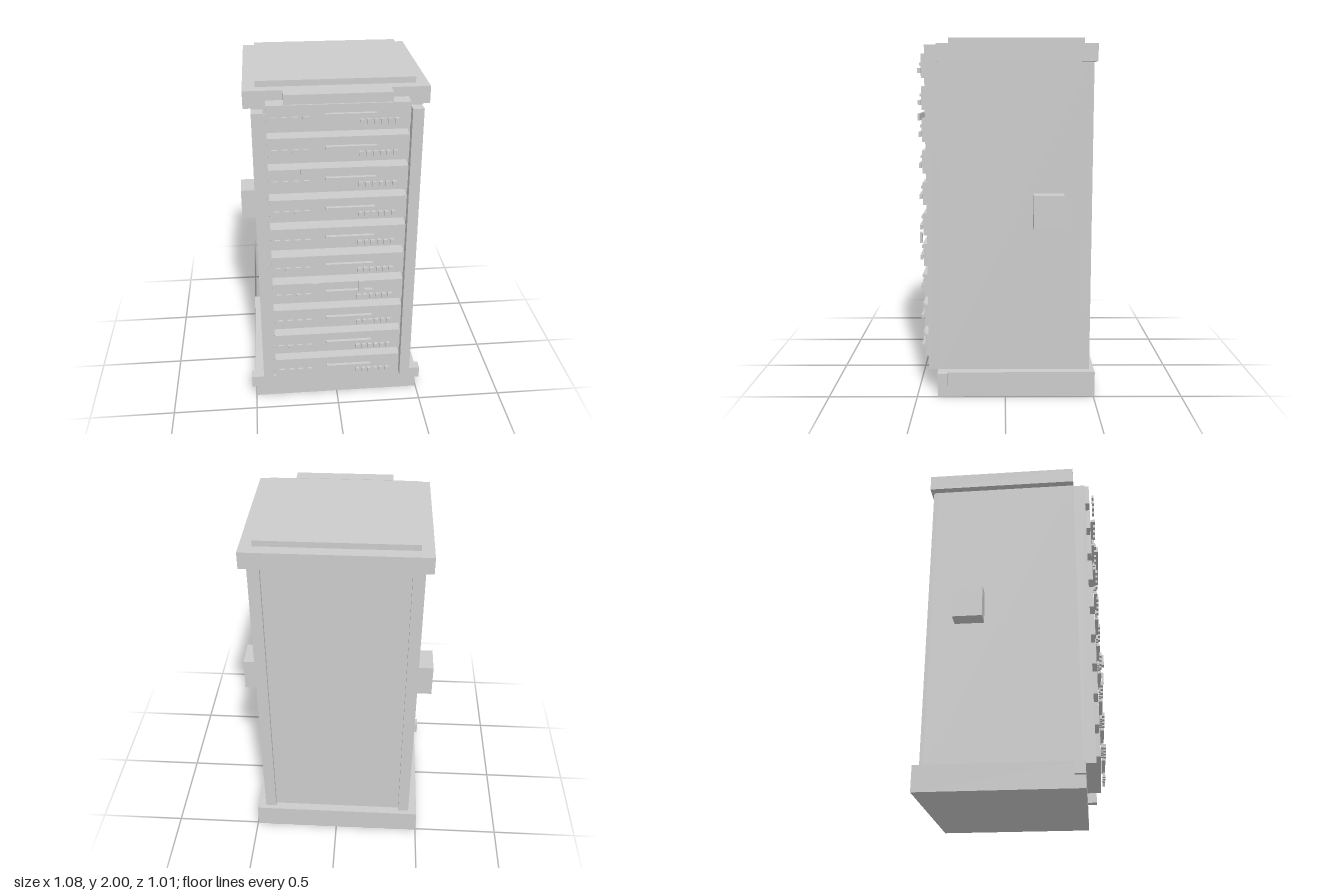
import * as THREE from 'three';

const material = new THREE.MeshStandardMaterial({ color: 0xcccccc, flatShading: true });

// Box given by its limits on each axis
function box(parent, name, [x0, x1], [y0, y1], [z0, z1]) {
  const mesh = new THREE.Mesh(new THREE.BoxGeometry(x1 - x0, y1 - y0, z1 - z0), material);
  mesh.position.set((x0 + x1) / 2, (y0 + y1) / 2, (z0 + z1) / 2);
  mesh.name = name;
  parent.add(mesh);
  return mesh;
}

// The same box on both sides of the cabinet
function pair(parent, name, [x0, x1], y, z) {
  box(parent, name + 'Left', [x0, x1], y, z);
  box(parent, name + 'Right', [-x1, -x0], y, z);
}

// Server unit with lights, a drive slot and a row of buttons, centred on y = 0
function createServer() {
  const server = new THREE.Group();
  box(server, 'serverCase', [-0.371, 0.371], [-0.064, 0.064], [0.378, 0.463]);
  box(server, 'driveSlot', [-0.07, 0.195], [0.005, 0.021], [0.47, 0.49]);
  for (let i = 0; i < 4; i++) {
    const x = -0.35 + i * 0.055;
    box(server, 'statusLight', [x, x + 0.03], [-0.01, 0.01], [0.479, 0.491]);
  }
  for (let i = 0; i < 6; i++) {
    const x = 0.106 + i * 0.036;
    box(server, 'button', [x, x + 0.022], [-0.04, -0.013], [0.473, 0.489]);
  }
  return server;
}

export function createModel() {
  const model = new THREE.Group();
  model.name = 'serverRack';
  const rack = new THREE.Group();
  rack.name = 'rack';
  rack.position.x = -0.003;
  model.add(rack);

  // Plinth with front corner blocks
  box(rack, 'base', [-0.497, 0.497], [0, 0.143], [-0.507, 0.383]);
  pair(rack, 'baseCornerBlock', [0.497, 0.521], [0.07, 0.143], [0.325, 0.383]);

  // Cabinet: recessed core, side panels and corner posts
  const height = [0.143, 1.875];
  box(rack, 'core', [-0.43, 0.43], height, [-0.457, 0.37]);
  box(rack, 'innerFrontPanel', [-0.386, 0.386], [0.17, 1.84], [0.37, 0.378]);
  pair(rack, 'sidePanel', [0.43, 0.447], height, [-0.46, 0.37]);
  pair(rack, 'rearPost', [0.383, 0.447], height, [-0.48, -0.457]);
  pair(rack, 'frontPost', [0.386, 0.446], [0.143, 1.87], [0.37, 0.437]);

  // Cap, raised roof plate and front light bar
  box(rack, 'cap', [-0.487, 0.487], [1.875, 1.968], [-0.496, 0.37]);
  box(rack, 'roofPlate', [-0.42, 0.42], [1.968, 2], [-0.43, 0.307]);
  box(rack, 'topBar', [-0.28, 0.28], [1.919, 1.97], [0.376, 0.453]);

  // Side boxes
  pair(rack, 'sideBox', [0.447, 0.54], [0.97, 1.157], [-0.322, -0.155]);

  // Stack of servers
  for (let i = 0; i < 10; i++) {
    const server = createServer();
    server.name = 'server' + (i + 1);
    server.position.y = 0.262 + i * 0.177;
    rack.add(server);
  }

  // Plate and two latches in front of the servers
  box(rack, 'frontPlate', [-0.204, 0.204], [1.547, 1.586], [0.491, 0.504]);
  pair(rack, 'latch', [0.114, 0.146], [0.816, 0.88], [0.494, 0.507]);

  return model;
}
